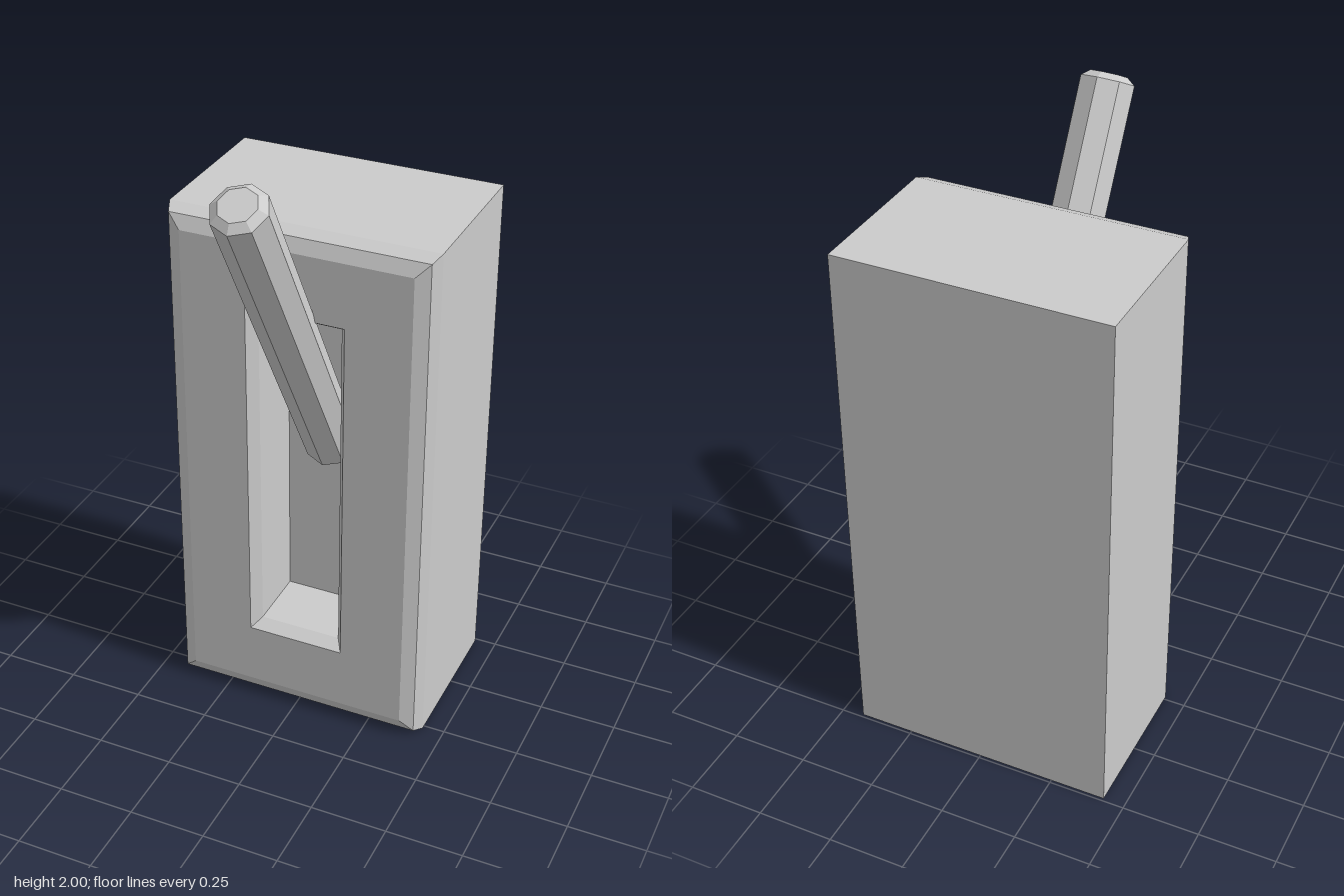
import * as THREE from 'three';

const material = new THREE.MeshStandardMaterial({ color: 0xcccccc, flatShading: true });

// Skin concentric rectangles [halfWidth, halfHeight, z], closing both ends.
function rectangleLoft(rings) {
  const corners = rings.map(([w, h, z]) => [[-w, -h, z], [w, -h, z], [w, h, z], [-w, h, z]]);
  const positions = [];
  const quad = (a, b, c, d) => positions.push(...a, ...b, ...c, ...a, ...c, ...d);
  for (let i = 0; i < corners.length - 1; i++) {
    for (let k = 0; k < 4; k++) {
      const n = (k + 1) % 4;
      quad(corners[i][k], corners[i][n], corners[i + 1][n], corners[i + 1][k]);
    }
  }
  const first = corners[0];
  quad(first[3], first[2], first[1], first[0]);
  quad(...corners[corners.length - 1]);
  const geometry = new THREE.BufferGeometry();
  geometry.setAttribute('position', new THREE.Float32BufferAttribute(positions, 3));
  geometry.computeVertexNormals();
  return geometry;
}

export function createModel() {
  const model = new THREE.Group();
  model.name = 'leverSwitch';

  // Housing: back, sides, two-step front bevel, then the bevelled slot down to its floor
  const housing = new THREE.Mesh(rectangleLoft([
    [0.43, 0.865, -0.49],
    [0.43, 0.865, 0.012],
    [0.413, 0.848, 0.055],
    [0.37, 0.805, 0.075],
    [0.16, 0.595, 0.075],
    [0.135, 0.57, 0.035],
    [0.135, 0.57, -0.178],
  ]), material);
  housing.name = 'housing';
  housing.position.y = 0.865;
  model.add(housing);

  // Octagonal lever with a chamfered tip, leaning forward out of the slot
  const radius = 0.087, length = 1.2535;
  const profile = [[0, -length], [radius, -length], [radius, 0], [0.06, 0.02], [0, 0.02]]
    .map(([x, y]) => new THREE.Vector2(x, y));
  const lever = new THREE.Mesh(new THREE.LatheGeometry(profile, 8), material);
  lever.name = 'lever';
  lever.rotation.x = Math.PI / 6;
  lever.position.set(0, 1.9535, 0.415);
  model.add(lever);

  return model;
}
